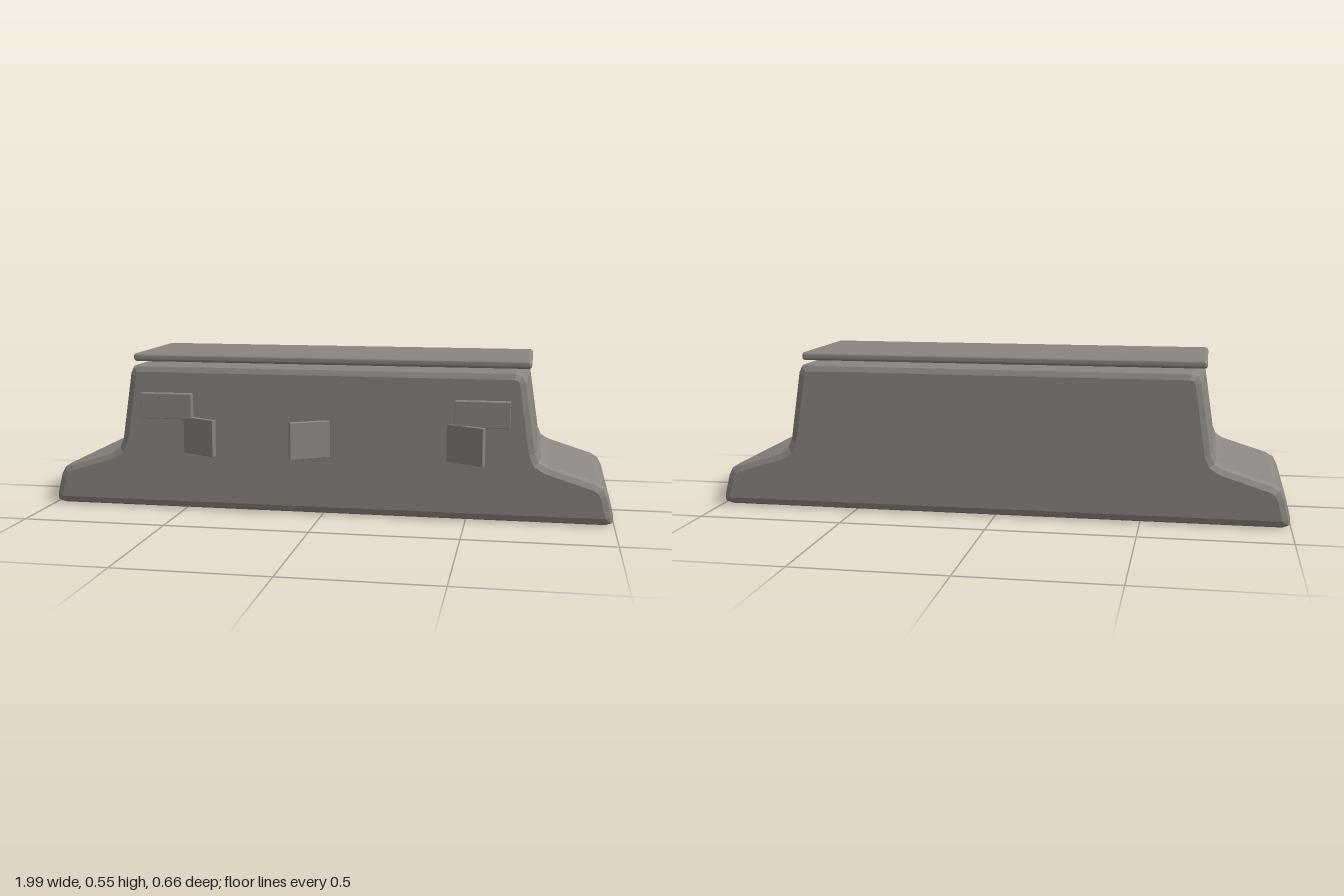
import * as THREE from 'three';
import { RoundedBoxGeometry } from 'three/addons/geometries/RoundedBoxGeometry.js';

const stone = new THREE.MeshStandardMaterial({ color: 0x8a8581 });
stone.name = 'warm grey';

function add(group, name, geometry, x, y, z, turn = 0) {
  const mesh = new THREE.Mesh(geometry, stone);
  mesh.name = name;
  mesh.position.set(x, y, z);
  mesh.rotation.y = turn;
  group.add(mesh);
}

// closed outline with every corner softened by a short curve
function softOutline(corners, clip) {
  const shape = new THREE.Shape();
  const n = corners.length;
  corners.forEach((c, i) => {
    const toward = (o) => c.clone().add(o.clone().sub(c).setLength(clip));
    const a = toward(corners[(i + n - 1) % n]);
    const b = toward(corners[(i + 1) % n]);
    if (i === 0) shape.moveTo(a.x, a.y);
    else shape.lineTo(a.x, a.y);
    shape.quadraticCurveTo(c.x, c.y, b.x, b.y);
  });
  shape.closePath();
  return shape;
}

export function createModel() {
  const model = new THREE.Group();
  model.name = 'steppedBlock';

  // stepped body with sloping shoulders at both ends
  const half = [[1.005, 0], [0.97, 0.138], [0.742, 0.21], [0.695, 0.518]];
  const corners = [
    ...half.map(([x, y]) => new THREE.Vector2(x, y)),
    ...half.map(([x, y]) => new THREE.Vector2(-x, y)).reverse(),
  ];
  const bevel = 0.027, back = -0.328, front = 0.255;
  const body = new THREE.ExtrudeGeometry(softOutline(corners, 0.034), {
    depth: front - back - 2 * bevel,
    bevelSize: bevel, bevelThickness: bevel, bevelOffset: -bevel,
    bevelSegments: 2, curveSegments: 2,
  });
  add(model, 'body', body, 0, 0, back + bevel);

  // thin lid
  add(model, 'lid', new RoundedBoxGeometry(1.424, 0.029, 0.422, 2, 0.011), 0, 0.5335, -0.036);

  // flat plates on the front
  for (const [name, x] of [['rightPlate', -0.558], ['leftPlate', 0.553]]) {
    add(model, name, new RoundedBoxGeometry(0.187, 0.091, 0.034, 1, 0.003), x, 0.3735, 0.262);
  }

  // angled flaps standing out of the front
  const tilt = Math.PI / 6;
  for (const [name, x, turn] of [
    ['rightFlap', -0.437, -tilt], ['middleFlap', -0.036, tilt], ['leftFlap', 0.496, -tilt],
  ]) {
    add(model, name, new RoundedBoxGeometry(0.154, 0.13, 0.017, 1, 0.002), x, 0.27, 0.282, turn);
  }
  return model;
}
